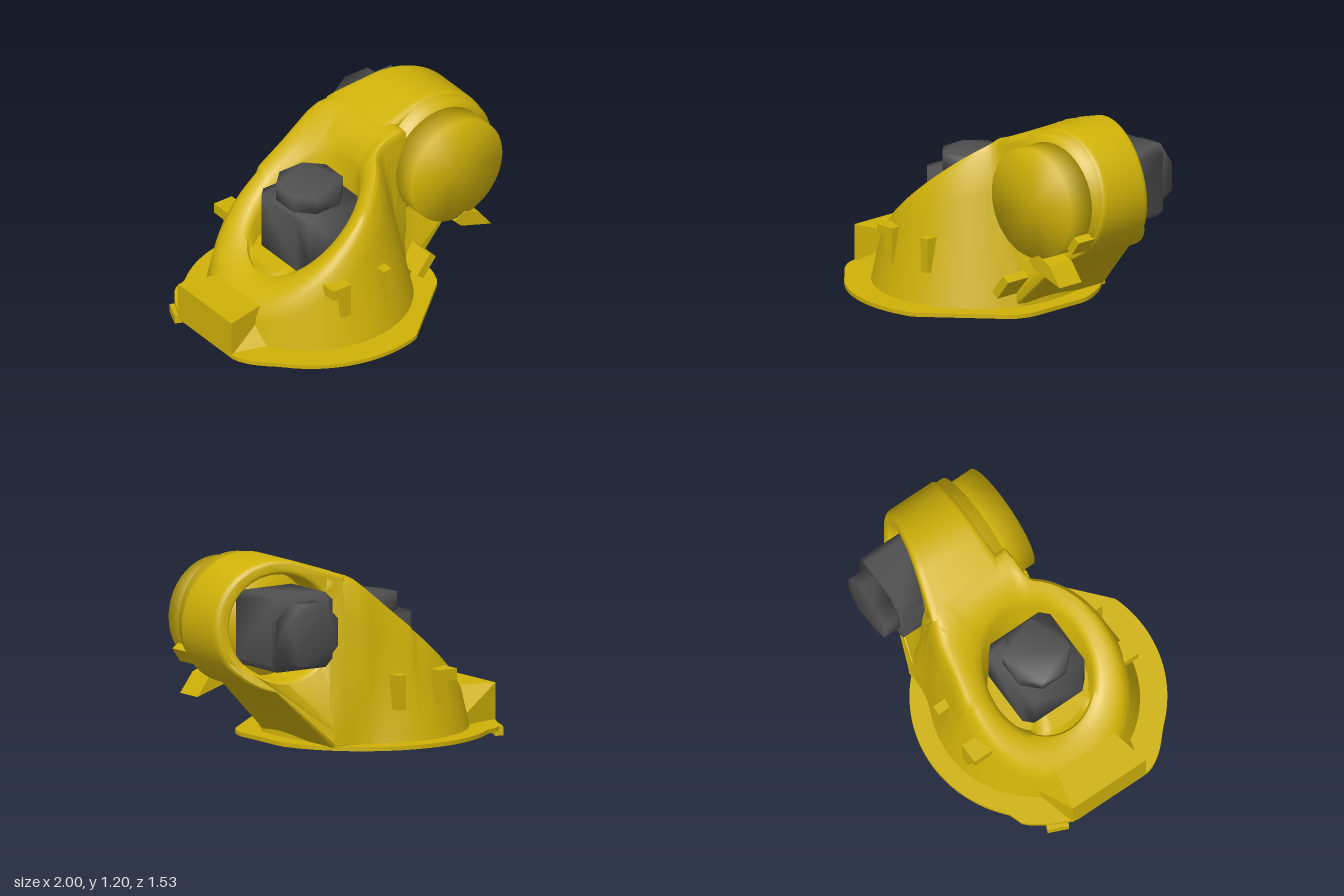
import * as THREE from 'three';
import { mergeVertices, toCreasedNormals } from 'three/addons/utils/BufferGeometryUtils.js';

const yellow = new THREE.MeshStandardMaterial({ color: 0xd0b208 });
const dark = new THREE.MeshStandardMaterial({ color: 0x505050 });
const CX = -0.235, CZ = -0.025; // axis of the column
const HUB = [0.6, 0.8];         // axis of the shoulder
const { lerp, clamp, smoothstep } = THREE.MathUtils;

function add(parent, name, geometry, material = yellow) {
  const mesh = new THREE.Mesh(geometry, material);
  mesh.name = name;
  parent.add(mesh);
  return mesh;
}

function box(parent, name, size, pos, rotZ = 0, rotY = 0) {
  const mesh = add(parent, name, new THREE.BoxGeometry(...size));
  mesh.position.set(...pos);
  mesh.rotation.set(0, rotY, rotZ);
}

// Softly shaded copy with shared corners
function soften(geometry) {
  geometry.deleteAttribute('normal');
  geometry.deleteAttribute('uv');
  const g = mergeVertices(geometry, 1e-4);
  g.computeVertexNormals();
  return g;
}

// Cylinder along z
function drum(parent, name, r, z0, z1) {
  const g = new THREE.CylinderGeometry(r, r, z1 - z0, 64).rotateX(Math.PI / 2);
  add(parent, name, soften(g)).position.set(...HUB, (z0 + z1) / 2);
}

// Back face shared by column and arm: leans forward with height, turns in toward the shoulder
const backLean = (y) => -0.54 + 0.08 * Math.max(0, y - 0.4);
const backTurn = (y) => 0.28 * clamp((y - 0.1) / 0.5, 0, 1);
const backFace = (x, y) => backLean(y) + backTurn(y) * Math.max(0, x - 0.1);

// Outward reach of the column wall in direction a at height y
function wallRadius(a, y) {
  const c = Math.cos(a), s = Math.sin(a), cone = 0.64 - 0.22 * y;
  const lean = backLean(y), turn = backTurn(y);
  let t = 0;
  if (c > 0) {
    t = 0.58 / Math.max(c, 1e-3);
    if (s > 0) t = Math.min(t, 0.2 / s);
    else if (s < 0) t = Math.min(t, (lean - CZ) / s, (lean + turn * (CX - 0.1) - CZ) / (s - turn * c));
  } else if (s < 0) t = (CZ - lean) / Math.max(-s, 0.6) + 1.5 * c;
  const k = 0.07, h = Math.max(k - Math.abs(cone - t), 0) / k;
  return Math.max(cone, t) + h * h * k / 4; // soft blend into the arm
}

const slopeTop = (x) => Math.min(0.28 + (x + 0.78) * 0.85, 1.02 + 0.33 * x);

// Column: tapered wall, sloping rounded rim and motor well, as closed rings
function columnGeometry() {
  const N = 120, pos = [], idx = [], rings = [];
  const at = (a, r, y, shift = 0) => [CX - shift + r * Math.cos(a), y, CZ + r * Math.sin(a)];
  const rims = Array.from({ length: N }, (_, i) => { // where the wall meets the slope
    const a = (i / N) * Math.PI * 2;
    let y = 0.7, r = 0.5;
    for (let n = 0; n < 12; n++) {
      r = wallRadius(a, y);
      y = Math.max(0.2, slopeTop(CX + r * Math.cos(a)));
    }
    return { r, y };
  });
  for (const f of [0, 0.25, 0.5, 0.75, 1]) rings.push((a, rim) => {
    const y = lerp(0.06, rim.y - 0.05, f);
    return at(a, wallRadius(a, y), y);
  });
  // [share of the way from rim to well, drop below the slope]
  for (const [f, drop] of [[0.05, 0.022], [0.14, 0.004], [0.3, 0], [0.5, 0.003], [0.75, 0.02], [0.92, 0.05], [1, 0.09]])
    rings.push((a, rim) => {
      const r = lerp(rim.r, 0.325, f), shift = 0.03 * f;
      return at(a, r, slopeTop(CX - shift + r * Math.cos(a)) - drop, shift);
    });
  rings.push((a) => at(a, 0.3, 0.4, 0.03), (a) => at(a, 0.001, 0.42, 0.03));
  for (const ring of rings) rims.forEach((rim, i) => pos.push(...ring((i / N) * Math.PI * 2, rim)));
  for (let j = 0; j < rings.length - 1; j++) for (let i = 0; i < N; i++) {
    const a = j * N + i, b = j * N + (i + 1) % N;
    idx.push(a, a + N, b, b, a + N, b + N);
  }
  const g = new THREE.BufferGeometry();
  g.setAttribute('position', new THREE.Float32BufferAttribute(pos, 3));
  g.setIndex(idx);
  return toCreasedNormals(g, 0.8);
}

// Arm: side outline with a round opening, fitted between the back face and a leaning front
function armGeometry() {
  const s = new THREE.Shape();
  s.moveTo(0.2, 0.06);
  s.lineTo(0.34, 0.06);
  s.lineTo(0.69, 0.41);
  s.absarc(...HUB, 0.4, -1.34, 1.95, false);
  s.lineTo(0.28, 1.115);
  s.lineTo(0.2, 1.08);
  const hole = new THREE.Path();
  hole.absarc(...HUB, 0.31, 0, Math.PI * 2, true);
  s.holes.push(hole);
  const g = new THREE.ExtrudeGeometry(s, {
    depth: 0.8, curveSegments: 48, bevelThickness: 0.1, bevelSize: 0.025, bevelOffset: -0.025, bevelSegments: 4,
  });
  const p = g.attributes.position;
  for (let i = 0; i < p.count; i++) {
    const x = p.getX(i), y = p.getY(i), front = 0.08 + (1.18 - y) * 0.11;
    p.setZ(i, lerp(backFace(x, y), front, p.getZ(i) + 0.1));
  }
  return toCreasedNormals(g, 0.6);
}

// Square block with cut corners, rising along z
function block(size, cut, z0, z1) {
  const h = size / 2, k = h - cut, s = new THREE.Shape();
  s.setFromPoints([[h, -k], [h, k], [k, h], [-k, h], [-h, k], [-h, -k], [-k, -h], [k, -h]]
    .map((q) => new THREE.Vector2(...q)));
  return soften(new THREE.ExtrudeGeometry(s, { depth: z1 - z0, bevelEnabled: false }).translate(0, 0, z0));
}

function motor(name, base, tip) {
  const g = new THREE.Group();
  g.name = name;
  add(g, 'motorBody', block(0.45, 0.05, 0, base), dark);
  add(g, 'motorCap', block(0.37, 0.1, base, tip), dark);
  return g;
}

export function createModel() {
  const model = new THREE.Group();
  model.name = 'rotatingColumn';

  // Base plate, wider at the cable box and cut straight at the front right
  const plate = [];
  for (let i = 0; i < 120; i++) {
    const a = (i / 120) * Math.PI * 2, c = Math.cos(a), s = Math.sin(a);
    const wide = s > 0 ? smoothstep(-c, 0.75, 0.95) : smoothstep(-c, 0.66, 0.76);
    const facing = 0.66 * c + 0.753 * s;
    const r = Math.min(0.765 + 0.045 * wide, facing > 0 ? 0.705 / facing : 1);
    plate.push(new THREE.Vector2(clamp(CX + r * c, -1, 0.5), -r * s));
  }
  const plateGeo = new THREE.ExtrudeGeometry(new THREE.Shape(plate), { depth: 0.025, bevelEnabled: false });
  add(model, 'basePlate', toCreasedNormals(plateGeo.rotateX(-Math.PI / 2).translate(0, 0.05, 0), 0.5));

  add(model, 'column', columnGeometry());
  add(model, 'arm', armGeometry());

  // Shoulder drums; the first also closes the motor opening
  drum(model, 'shoulderFloor', 0.385, -0.2, 0.15);
  drum(model, 'shoulderFlange', 0.337, 0.15, 0.325);

  // Cable box, flaring toward the column at its foot
  const cable = new THREE.BoxGeometry(0.4, 0.235, 1).toNonIndexed();
  const p = cable.attributes.position;
  for (let i = 0; i < p.count; i++) {
    const half = p.getX(i) < 0 ? 0.265 : p.getY(i) > 0 ? 0.18 : 0.37;
    p.setZ(i, Math.sign(p.getZ(i)) * half - 0.025);
  }
  cable.computeVertexNormals();
  add(model, 'cableBox', cable).position.set(-0.8, 0.178, 0);
  box(model, 'stopFoot', [0.05, 0.055, 0.13], [-0.955, 0.028, -0.37], 0, -0.4);

  // Motors
  const upright = motor('columnMotor', 0.355, 0.46);
  upright.rotation.x = -Math.PI / 2;
  upright.position.set(CX, 0.415, -0.015);
  const rear = motor('shoulderMotor', 0.365, 0.475);
  rear.rotation.y = Math.PI;
  rear.position.set(0.59, 0.795, -0.19);
  model.add(upright, rear);

  // Lugs on both flanks
  for (const [z, side] of [[0.485, 'front'], [-0.565, 'back']]) {
    box(model, side + 'LugStem', [0.06, 0.21, 0.14], [-0.38, 0.375, z]);
    box(model, side + 'LugHead', [0.13, 0.065, 0.14], [-0.415, 0.45, z]);
    box(model, side + 'Lug', [0.06, 0.21, 0.14], [-0.08, 0.375, z]);
  }

  // Stops around the shoulder
  box(model, 'lowerStop', [0.15, 0.055, 0.22], [0.36, 0.23, 0.24], 0.9);
  box(model, 'sideStop', [0.05, 0.1, 0.14], [0.9, 0.59, 0.2], -0.6);
  const pointer = new THREE.Shape([[0.58, 0.45], [0.63, 0.4], [0.85, 0.33], [0.76, 0.45], [0.66, 0.49]]
    .map((q) => new THREE.Vector2(...q)));
  add(model, 'pointerStop', new THREE.ExtrudeGeometry(pointer, { depth: 0.18, bevelEnabled: false }))
    .position.z = 0.15;

  return model;
}
